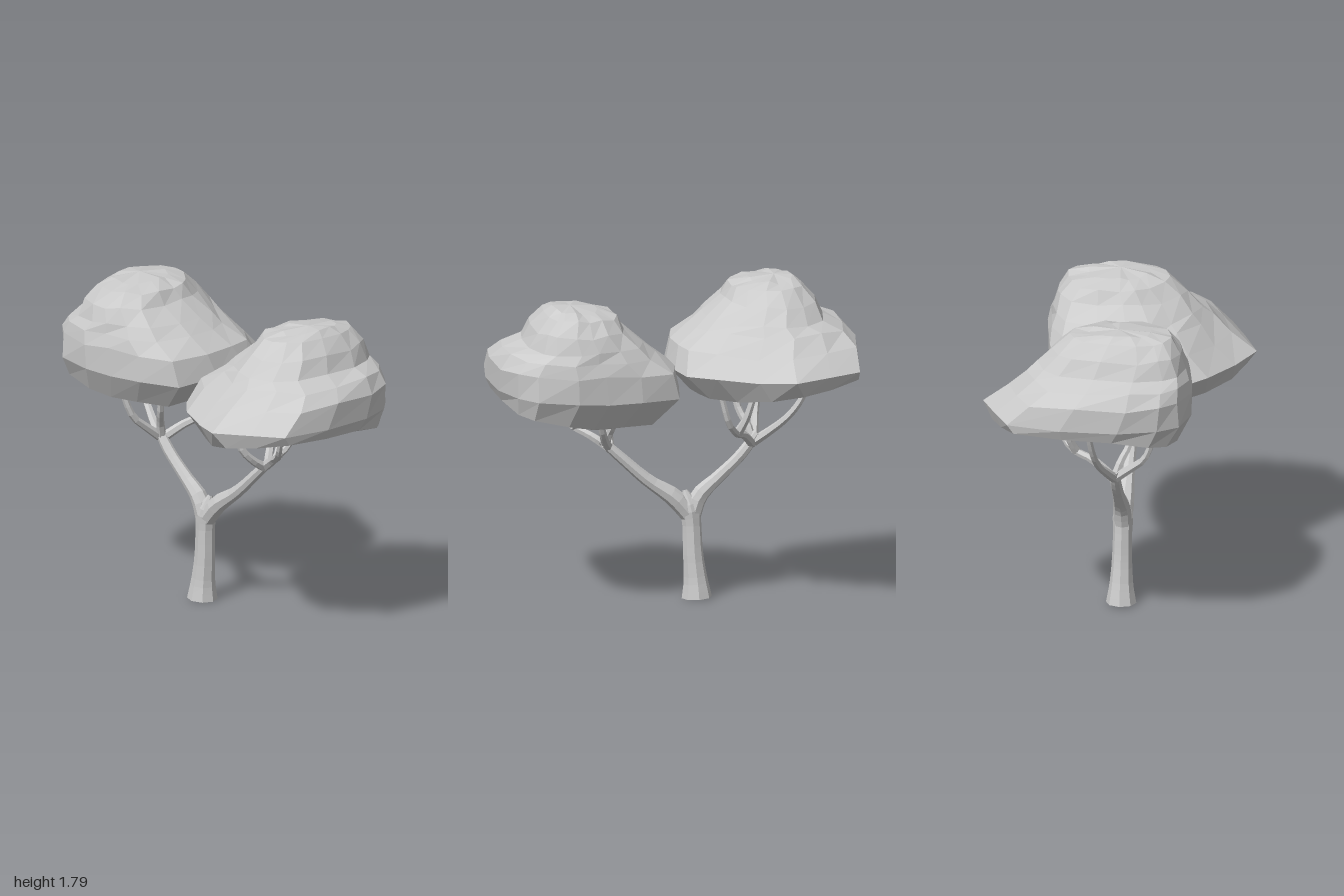
import * as THREE from 'three';

const material = new THREE.MeshStandardMaterial({ color: 0xcccccc, flatShading: true });
const V = (p) => new THREE.Vector3(...p);

// Plan outline of a crown, normalised to -1..1, counterclockwise from above
const OUTLINE = [
  [-1, 0.17], [-0.86, 0.57], [-0.68, 0.93], [-0.17, 1], [0.36, 0.97], [0.74, 0.84],
  [0.92, 0.64], [1, 0.22], [0.95, -0.1], [0.9, -0.5], [0.76, -0.9], [0.3, -1],
  [-0.1, -0.97], [-0.38, -0.88], [-0.62, -0.6], [-0.85, -0.2],
];

// Crown sections from the underside up: y, xMin, xMax, zMin, zMax, slope in x, slope of the front half in z
const SECTIONS = [
  [1.045, -0.35, 0.28, 0.2, 0.7, -0.07, 0.16],
  [1.065, -0.63, 0.4, 0.11, 0.98, -0.07, 0.22],
  [1.21, -0.68, 0.475, -0.03, 1.0, -0.03, 0.06],
  [1.34, -0.54, 0.475, 0, 1.0, 0.02, 0.05],
  [1.43, -0.44, 0.46, 0.12, 0.94, 0, 0.02],
  [1.48, -0.39, 0.45, 0.19, 0.84, 0, 0],
  [1.57, -0.3, 0.42, 0.29, 0.8, 0, 0],
  [1.645, -0.21, 0.36, 0.34, 0.73, 0, 0.05],
  [1.67, -0.1, 0.25, 0.44, 0.68, 0, 0.05],
];

function seeded(seed) {
  return () => {
    seed = (seed * 16807) % 2147483647;
    return seed / 2147483647 - 0.5;
  };
}

function crownGeometry() {
  const rnd = seeded(4711);
  const n = OUTLINE.length;
  const pos = [];
  const index = [];
  SECTIONS.forEach(([y, x0, x1, z0, z1, sx, sz], k) => {
    OUTLINE.forEach(([u, w]) => {
      // Upper sections become rounder than the plan outline
      const round = Math.min(1, Math.max(0, (k - 2) / 4)) * 0.5;
      const f = 1 + round * (1 / Math.hypot(u, w) - 1);
      const x = (x0 + x1) / 2 + (u * f * (x1 - x0)) / 2;
      const z = (z0 + z1) / 2 + (w * f * (z1 - z0)) / 2;
      const lift = sx * x + sz * Math.max(0, z - 0.5);
      pos.push(x + rnd() * 0.015, y + lift + rnd() * 0.02, z + rnd() * 0.015);
    });
  });
  const bottom = SECTIONS.length * n;
  const top = bottom + 1;
  pos.push(-0.03, 1.04, 0.42, 0.07, 1.69, 0.58);
  const last = (SECTIONS.length - 1) * n;
  for (let i = 0; i < n; i++) {
    const j = (i + 1) % n;
    for (let k = 0; k < last; k += n) {
      index.push(k + i, k + j, k + n + j, k + i, k + n + j, k + n + i);
    }
    index.push(bottom, j, i, top, last + i, last + j);
  }
  const g = new THREE.BufferGeometry();
  g.setAttribute('position', new THREE.Float32BufferAttribute(pos, 3));
  g.setIndex(index);
  g.computeVertexNormals();
  return g;
}

// Tapered round limb along a smooth path; radii are spread evenly along it
function limb(name, points, radii, sides = 8) {
  const steps = (points.length - 1) * 3;
  const curve = new THREE.CatmullRomCurve3(points.map(V));
  const g = new THREE.TubeGeometry(curve, steps, 1, sides);
  const p = g.attributes.position;
  const v = new THREE.Vector3();
  for (let i = 0; i <= steps; i++) {
    const c = curve.getPointAt(i / steps);
    const t = (i / steps) * (radii.length - 1);
    const a = Math.min(Math.floor(t), radii.length - 2);
    const r = THREE.MathUtils.lerp(radii[a], radii[a + 1], t - a);
    for (let j = 0; j <= sides; j++) {
      const id = i * (sides + 1) + j;
      v.fromBufferAttribute(p, id).sub(c).multiplyScalar(r).add(c);
      p.setXYZ(id, v.x, v.y, v.z);
    }
  }
  g.computeVertexNormals();
  const mesh = new THREE.Mesh(g, material);
  mesh.name = name;
  return mesh;
}

export function createModel() {
  const tree = new THREE.Group();
  tree.name = 'tree';

  // Trunk with a flared foot, a closed base and a top that fills the fork
  tree.add(limb('trunk',
    [[-0.025, 0, -0.142], [-0.025, 0.06, -0.139], [-0.027, 0.25, -0.122], [-0.03, 0.45, -0.112],
      [-0.03, 0.54, -0.095], [-0.03, 0.605, -0.075]],
    [0.084, 0.066, 0.058, 0.054, 0.053, 0.058, 0.012]));
  const base = new THREE.Mesh(new THREE.CircleGeometry(0.08, 8), material);
  base.name = 'trunkBase';
  base.rotation.x = Math.PI / 2;
  base.position.set(-0.025, 0.001, -0.142);
  tree.add(base);

  // Two main limbs of the fork
  tree.add(limb('frontLimb',
    [[-0.03, 0.46, -0.105], [-0.03, 0.56, -0.02], [-0.03, 0.665, 0.13], [-0.03, 0.79, 0.27], [-0.03, 0.9, 0.39]],
    [0.05, 0.053, 0.038, 0.033, 0.03, 0.025]));
  tree.add(limb('backLimb',
    [[-0.03, 0.45, -0.115], [-0.03, 0.565, -0.155], [-0.03, 0.67, -0.265], [-0.03, 0.79, -0.39], [-0.03, 0.91, -0.48]],
    [0.05, 0.05, 0.038, 0.033, 0.032, 0.025]));

  // Branches that carry the crowns
  const branches = {
    front: [
      [[-0.03, 0.86, 0.35], [-0.06, 0.92, 0.44], [-0.13, 0.97, 0.54], [-0.18, 1.03, 0.6], [-0.2, 1.14, 0.64]],
      [[-0.03, 0.86, 0.35], [0.03, 0.91, 0.38], [0.09, 0.96, 0.4], [0.14, 1.1, 0.44]],
      [[-0.03, 0.85, 0.34], [-0.12, 0.91, 0.33], [-0.18, 0.98, 0.31], [-0.21, 1.13, 0.27]],
      [[-0.03, 0.87, 0.37], [0.0, 0.94, 0.35], [0.04, 1.0, 0.33], [0.06, 1.1, 0.28]],
      [[-0.12, 0.965, 0.53], [-0.07, 1.0, 0.49], [-0.03, 1.09, 0.43]],
    ],
    back: [
      [[-0.03, 0.86, -0.46], [0, 0.92, -0.54], [0.04, 1.0, -0.63], [0.06, 1.09, -0.7], [0.08, 1.25, -0.77]],
      [[-0.03, 0.85, -0.45], [0.1, 0.93, -0.38], [0.22, 0.965, -0.32], [0.28, 1.03, -0.27], [0.3, 1.2, -0.22]],
      [[0.2, 0.96, -0.33], [0.23, 1.04, -0.37], [0.25, 1.2, -0.42]],
      [[-0.03, 0.86, -0.46], [-0.12, 0.93, -0.48], [-0.2, 1.0, -0.5], [-0.27, 1.2, -0.54]],
      [[-0.03, 0.86, -0.45], [-0.06, 0.95, -0.43], [-0.1, 1.03, -0.39], [-0.13, 1.2, -0.35]],
    ],
  };
  for (const [side, paths] of Object.entries(branches)) {
    for (const path of paths) tree.add(limb(side + 'Branch', path, [0.028, 0.022, 0.019, 0.016], 6));
  }

  // Same crown twice, the back one turned half round and a little higher
  const geometry = crownGeometry();
  const frontCrown = new THREE.Mesh(geometry, material);
  frontCrown.name = 'frontCrown';
  const backCrown = new THREE.Mesh(geometry, material);
  backCrown.name = 'backCrown';
  backCrown.rotation.y = Math.PI;
  backCrown.position.y = 0.1;
  tree.add(frontCrown, backCrown);

  return tree;
}
